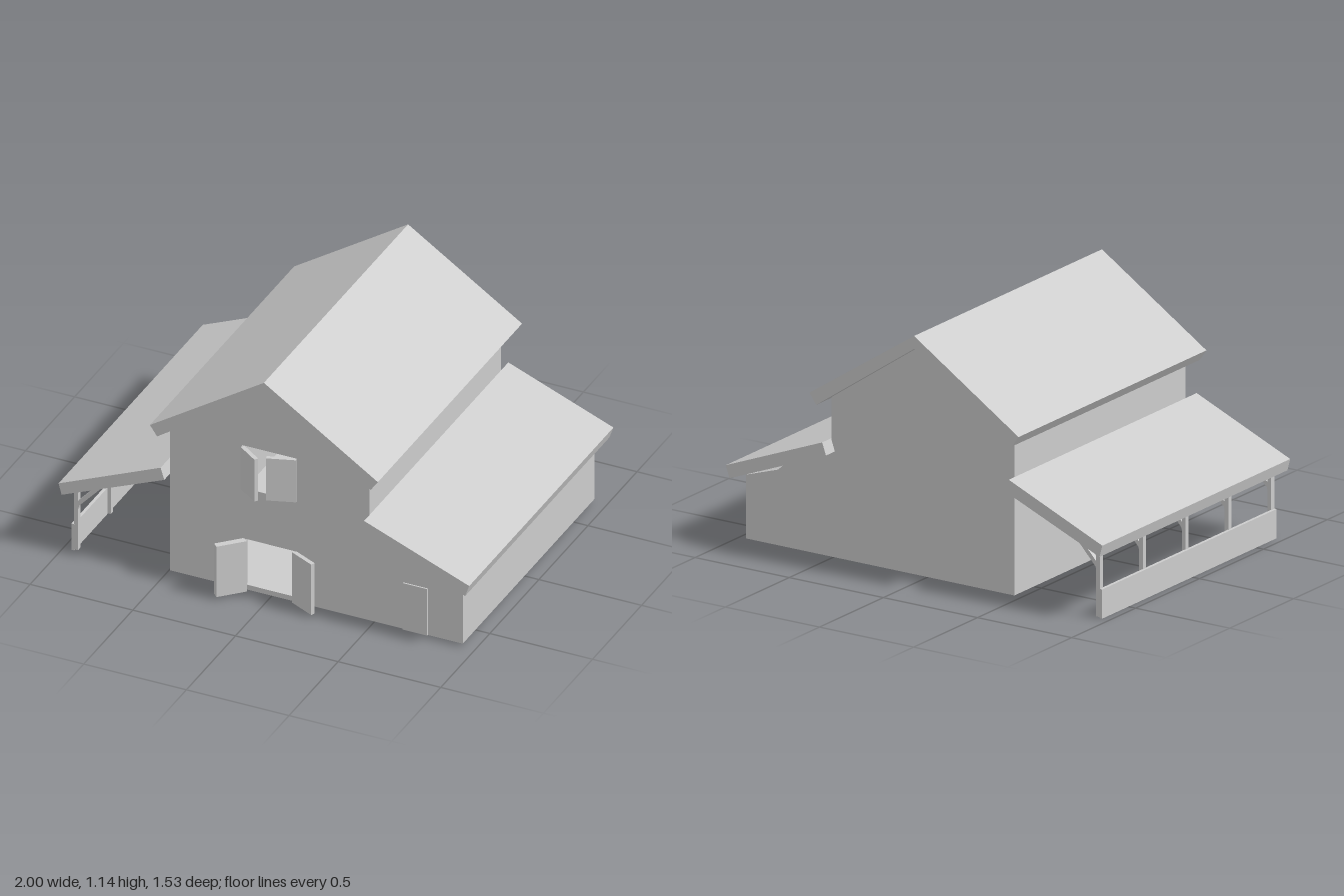
import * as THREE from 'three';

const mat = new THREE.MeshStandardMaterial({ color: 0xcccccc, flatShading: true });

export function createModel() {
  const root = new THREE.Group();
  root.name = 'barn';

  const add = (geometry, name) => {
    const m = new THREE.Mesh(geometry, mat);
    m.name = name;
    root.add(m);
    return m;
  };
  // Box given by its limits
  const box = (name, x0, x1, y0, y1, z0, z1) =>
    add(new THREE.BoxGeometry(x1 - x0, y1 - y0, z1 - z0), name)
      .position.set((x0 + x1) / 2, (y0 + y1) / 2, (z0 + z1) / 2);
  // Outline in the front plane, extruded from z0 to z1
  const prism = (name, pts, z0, z1, holes = []) => {
    const toV = (p) => p.map(([x, y]) => new THREE.Vector2(x, y));
    const shape = new THREE.Shape(toV(pts));
    holes.forEach((h) => shape.holes.push(new THREE.Path(toV(h))));
    const g = new THREE.ExtrudeGeometry(shape, { depth: z1 - z0, bevelEnabled: false });
    g.translate(0, 0, z0);
    return add(g, name);
  };
  const rect = (x0, x1, y0, y1) => [[x0, y0], [x1, y0], [x1, y1], [x0, y1]];
  // Upright panel swung open, from its hinge to its free edge (x, z)
  const leaf = (name, [hx, hz], [tx, tz], y0, y1, t = 0.02) => {
    const dx = tx - hx, dz = tz - hz;
    const m = add(new THREE.BoxGeometry(Math.hypot(dx, dz), y1 - y0, t), name);
    m.position.set((hx + tx) / 2, (y0 + y1) / 2, (hz + tz) / 2);
    m.rotation.y = Math.atan2(-dz, dx);
  };

  const F = 0.65, B = -0.69, T = 0.02;

  // End walls: gable plus the closed lean-to
  const gable = [
    [-0.485, 0.02], [0.94, 0.02], [0.94, 0.315], [0.77, 0.37], [0.73, 0.405],
    [0.485, 0.505], [0.485, 0.759], [0, 1.09], [-0.485, 0.759],
  ];
  prism('frontWall', gable, F - T, F,
    [rect(-0.115, 0.12, 0.045, 0.28), rect(-0.135, 0.13, 0.54, 0.76)]);
  prism('backWall', gable, B, B + T);

  // Long walls and floor
  box('leftOuterWall', 0.94 - T, 0.94, 0.02, 0.315, B + T, F - T);
  box('leftMainWall', 0.485 - T, 0.485, 0.02, 0.759, B + T, F - T);
  box('rightWall', -0.485, -0.485 + T, 0.02, 0.759, B + T, F - T);
  box('floor', -0.485 + T, 0.94 - T, 0.02, 0.045, B + T, F - T);

  // Roofs
  prism('mainRoof', [
    [0, 1.15], [-0.555, 0.785], [-0.52, 0.735], [0, 1.09], [0.52, 0.735], [0.555, 0.785],
  ], -0.76, 0.71);
  prism('porchRoof', [[-1, 0.365], [-0.985, 0.31], [-0.485, 0.52], [-0.503, 0.578]], -0.76, 0.71);
  prism('leanToRoof', [[1, 0.367], [0.488, 0.567], [0.468, 0.51], [0.98, 0.31]], -0.76, 0.71);

  // Barn doors, loft shutters and small side door
  leaf('rightBarnDoor', [-0.115, 0.655], [-0.215, 0.755], 0.02, 0.28, 0.03);
  leaf('leftBarnDoor', [0.12, 0.655], [0.24, 0.712], 0.02, 0.28);
  leaf('rightShutter', [-0.13, 0.655], [-0.03, 0.725], 0.54, 0.757);
  leaf('leftShutter', [0.13, 0.65], [0.003, 0.692], 0.54, 0.757);
  box('sideDoor', 0.65, 0.77, 0.02, 0.26, F, F + 0.007);

  // Open porch: boarded rail, posts and diagonal braces
  box('porchRail', -0.962, -0.947, 0.005, 0.14, -0.705, 0.66);
  for (let i = 0; i < 5; i++) {
    const z = -0.693 + i * 0.335;
    box('porchPost', -0.95, -0.93, 0.01, 0.32, z - 0.012, z + 0.012);
    prism('porchBrace', [
      [-0.933, 0.21], [-0.925, 0.24], [-0.815, 0.36], [-0.832, 0.37], [-0.935, 0.258],
    ], z - 0.01, z + 0.01);
  }

  return root;
}
